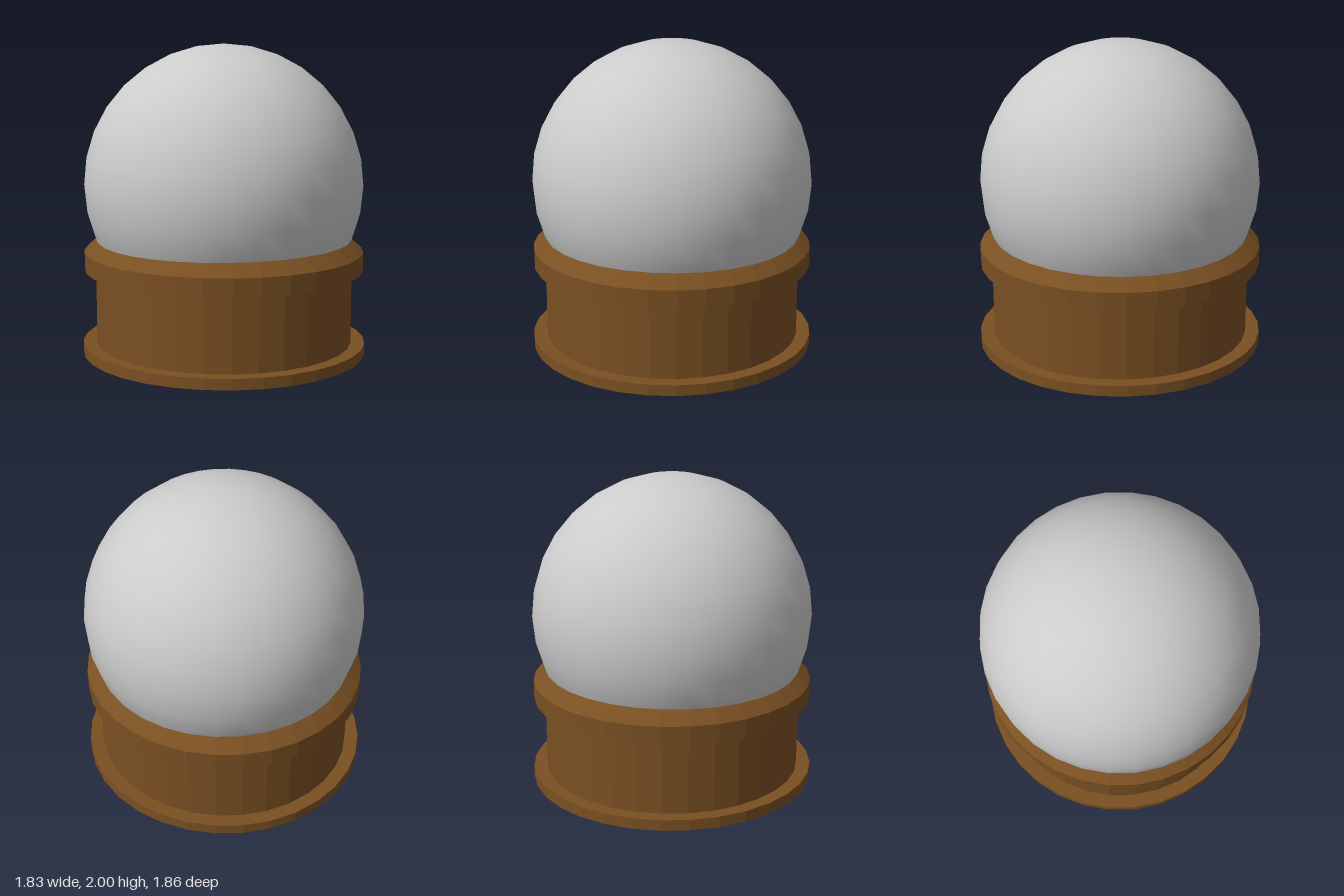
import * as THREE from 'three';

const SIDES = 32;

export function createModel() {
  const model = new THREE.Group();
  model.name = 'snowGlobe';

  const wood = new THREE.MeshStandardMaterial({ color: 0x7a5022, flatShading: true });
  const glass = new THREE.MeshStandardMaterial({ color: 0xcccccc });

  // Turned base: foot, body, overhanging rim and chamfer, closed at both ends
  const profile = [
    [0, 0], [0.93, 0], [0.93, 0.07],
    [0.84, 0.07], [0.84, 0.55],
    [0.914, 0.55], [0.914, 0.67],
    [0.825, 0.75], [0, 0.75],
  ].map(([r, y]) => new THREE.Vector2(r, y));
  const base = new THREE.Mesh(new THREE.LatheGeometry(profile, SIDES), wood);
  base.name = 'base';
  base.scale.x = 0.985; // slightly narrower than deep
  model.add(base);

  // Smooth globe, its lower end sunk into the base
  const globe = new THREE.Mesh(
    new THREE.SphereGeometry(0.9, SIDES, 12, 0, Math.PI * 2, 0, Math.PI * 12 / 16),
    glass
  );
  globe.name = 'globe';
  globe.position.y = 1.1;
  model.add(globe);

  return model;
}
